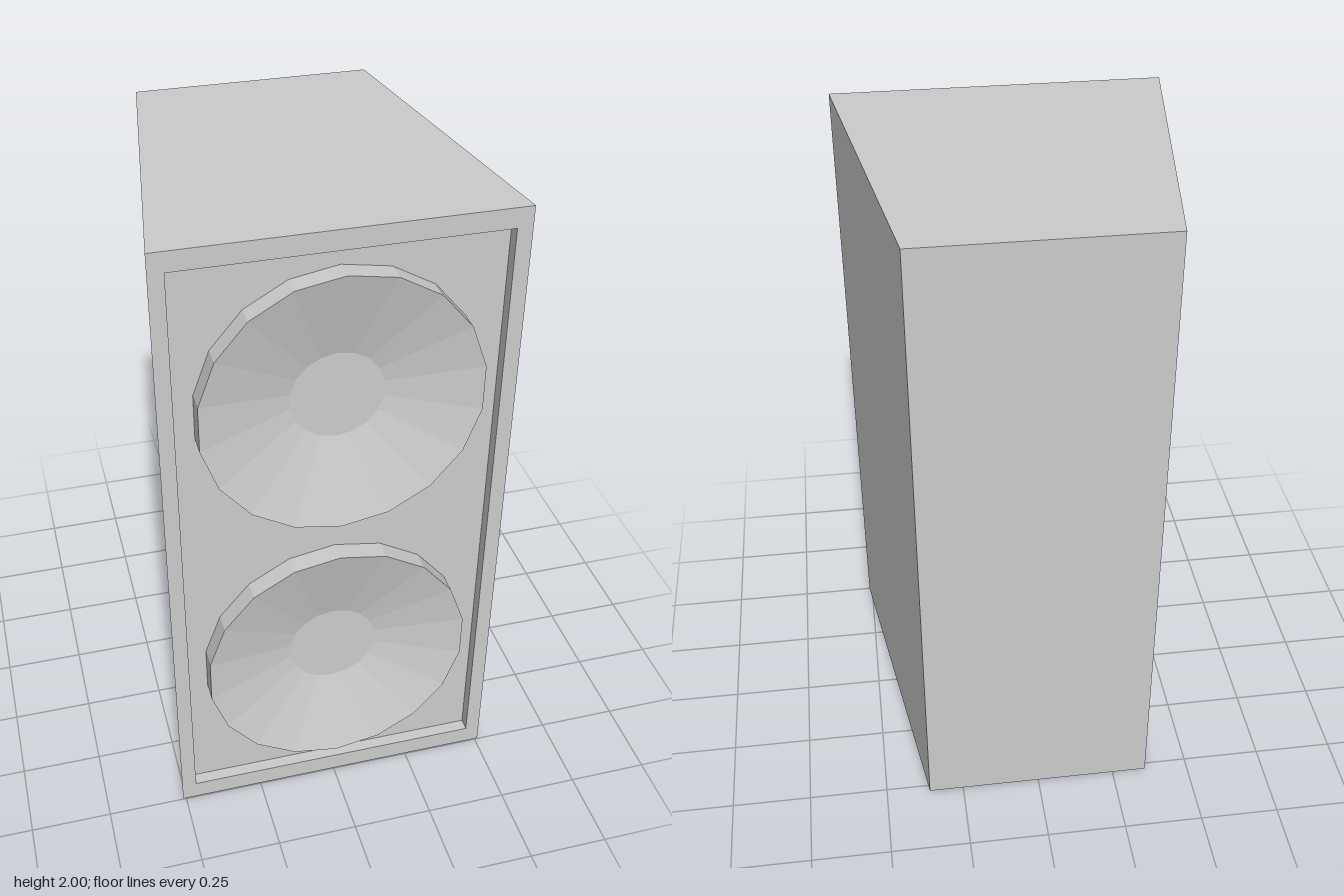
import * as THREE from 'three';

const SIDES = 18;
const CONE_RADIUS = 0.41;
const CONE_HEIGHTS = [0.53, 1.47];
const BAFFLE_Z = 0.46;

// Rectangle corners, counter-clockwise seen from the front
function rectangle(halfWidth, bottom, top, z) {
  return [
    [-halfWidth, bottom, z],
    [halfWidth, bottom, z],
    [halfWidth, top, z],
    [-halfWidth, top, z],
  ];
}

// Tapered box with a front rim and a shallow recess
function cabinetGeometry() {
  const rings = [
    rectangle(0.36, 0, 2, -0.523),
    rectangle(0.51, 0, 2, 0.498),
    rectangle(0.465, 0.06, 1.94, 0.498),
    rectangle(0.465, 0.06, 1.94, BAFFLE_Z),
  ];
  const positions = [];
  const quad = (a, b, c, d) => positions.push(...a, ...b, ...c, ...a, ...c, ...d);
  for (let r = 0; r < rings.length - 1; r++) {
    for (let i = 0; i < 4; i++) {
      const j = (i + 1) % 4;
      quad(rings[r][i], rings[r][j], rings[r + 1][j], rings[r + 1][i]);
    }
  }
  const [a, b, c, d] = rings[0];
  quad(d, c, b, a); // back panel
  const geometry = new THREE.BufferGeometry();
  geometry.setAttribute('position', new THREE.Float32BufferAttribute(positions, 3));
  geometry.computeVertexNormals();
  return geometry;
}

// Recessed front panel with an opening for each speaker
function baffleGeometry() {
  const shape = new THREE.Shape(
    rectangle(0.465, 0.06, 1.94, 0).map(([x, y]) => new THREE.Vector2(x, y))
  );
  for (const y of CONE_HEIGHTS) {
    const points = [];
    for (let i = 0; i < SIDES; i++) {
      const angle = (i / SIDES) * Math.PI * 2;
      points.push(new THREE.Vector2(
        CONE_RADIUS * Math.sin(angle), y + CONE_RADIUS * Math.cos(angle)
      ));
    }
    shape.holes.push(new THREE.Path(points));
  }
  return new THREE.ShapeGeometry(shape).translate(0, 0, BAFFLE_Z);
}

// Faceted ring wall, sloping cone and flat centre cap
function speakerGeometry() {
  const profile = [
    [CONE_RADIUS, BAFFLE_Z],
    [CONE_RADIUS, 0.523],
    [0.137, 0.453],
    [0, 0.453],
  ].map(([r, z]) => new THREE.Vector2(r, z));
  const geometry = new THREE.LatheGeometry(profile, SIDES)
    .rotateX(Math.PI / 2)
    .toNonIndexed();
  geometry.computeVertexNormals();
  return geometry;
}

export function createModel() {
  const group = new THREE.Group();
  group.name = 'loudspeaker';
  const grey = new THREE.MeshStandardMaterial({ color: 0xcccccc });
  grey.name = 'grey';

  function add(name, geometry, y = 0) {
    const mesh = new THREE.Mesh(geometry, grey);
    mesh.name = name;
    mesh.position.y = y;
    group.add(mesh);
  }

  add('cabinet', cabinetGeometry());
  add('baffle', baffleGeometry());
  const speaker = speakerGeometry();
  add('lowerSpeaker', speaker, CONE_HEIGHTS[0]);
  add('upperSpeaker', speaker, CONE_HEIGHTS[1]);
  return group;
}
